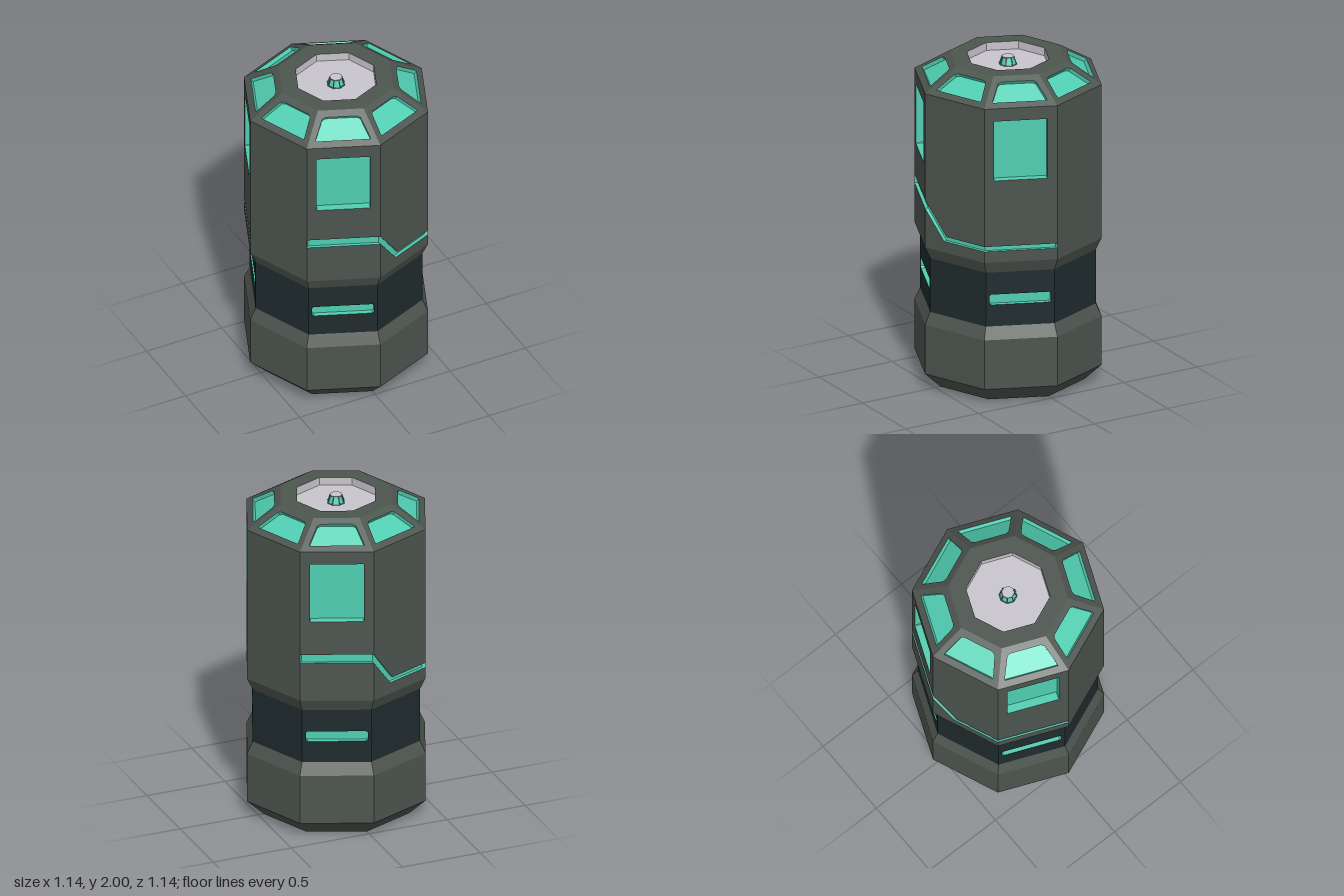
import * as THREE from 'three';
import { mergeGeometries } from 'three/addons/utils/BufferGeometryUtils.js';

const mats = {
  hull: new THREE.MeshStandardMaterial({ name: 'dark grey hull', color: 0x4d554f }),
  band: new THREE.MeshStandardMaterial({ name: 'blue black band', color: 0x1f2b2d }),
  glow: new THREE.MeshStandardMaterial({ name: 'teal', color: 0x50ceb2 }),
  lid: new THREE.MeshStandardMaterial({ name: 'pale grey', color: 0xc8c5cc, side: THREE.DoubleSide }),
};
const SIDES = 8;
const HALF = Math.PI / SIDES;

const toShape = (pts) => new THREE.Shape(pts.map(([x, y]) => new THREE.Vector2(x, y)));

// Flat-sided geometry with only position and normal, ready to merge
function clean(geo) {
  const g = geo.index ? geo.toNonIndexed() : geo;
  g.deleteAttribute('uv');
  g.computeVertexNormals();
  return g;
}

// Flat panel with optional holes, in the local plane of a face
function panel(pts, holes = []) {
  const shape = toShape(pts);
  for (const h of holes) shape.holes.push(new THREE.Path(h.map(([x, y]) => new THREE.Vector2(x, y))));
  return clean(new THREE.ShapeGeometry(shape));
}

// Recess behind a counter-clockwise outline: inward walls and a floor
function pocket(pts, depth, shrink = 1, hasWall = () => true) {
  const inner = pts.map(([x, y]) => [x * shrink, y]);
  const v = [];
  pts.forEach((a, i) => {
    const j = (i + 1) % pts.length;
    if (!hasWall(a, pts[j])) return;
    const A = [...a, 0], B = [...pts[j], 0], a2 = [...inner[i], -depth], b2 = [...inner[j], -depth];
    v.push(...A, ...B, ...a2, ...B, ...b2, ...a2);
  });
  const walls = new THREE.BufferGeometry();
  walls.setAttribute('position', new THREE.Float32BufferAttribute(v, 3));
  return mergeGeometries([clean(walls), panel(inner).translate(0, 0, -depth)]);
}

// Frame of side i of an octagonal frustum: x along the edge, y up the slope, z outward
function faceMatrix(i, r0, y0, r1, y1) {
  const t = (i * 2 + 1) * HALF, c = Math.cos(HALF);
  const out = new THREE.Vector3(Math.sin(t), 0, Math.cos(t));
  const X = new THREE.Vector3(Math.cos(t), 0, -Math.sin(t));
  const Y = out.clone().multiplyScalar((r1 - r0) * c).setY(y1 - y0).normalize();
  const Z = X.clone().cross(Y);
  return new THREE.Matrix4().makeBasis(X, Y, Z).setPosition(out.x * r0 * c, y0, out.z * r0 * c);
}

function outline(r0, y0, r1, y1) {
  const s = Math.sin(HALF), L = Math.hypot((r1 - r0) * Math.cos(HALF), y1 - y0);
  return [[-r0 * s, 0], [r0 * s, 0], [r1 * s, L], [-r1 * s, L]];
}

// Rectangle with small cut corners
function cutRect(w, lo, hi, c) {
  return [[-w + c, lo], [w - c, lo], [w, lo + c], [w, hi - c], [w - c, hi], [-w + c, hi], [-w, hi - c], [-w, lo + c]];
}

function addMesh(parent, name, geo, mat) {
  const m = new THREE.Mesh(geo, mat);
  m.name = name;
  parent.add(m);
}

// Eight-sided tier; holeFor(i) gives a recess outline or nothing
function tier(parent, name, ring, mat, holeFor = () => null, depth = 0) {
  const shell = [], recess = [];
  for (let i = 0; i < SIDES; i++) {
    const m = faceMatrix(i, ...ring), hole = holeFor(i);
    shell.push(panel(outline(...ring), hole ? [hole] : []).applyMatrix4(m));
    if (hole) recess.push(pocket(hole, depth).applyMatrix4(m));
  }
  addMesh(parent, name, mergeGeometries(shell), mat);
  if (recess.length) addMesh(parent, name + 'Insets', mergeGeometries(recess), mats.glow);
}

// Upper wall: windows on alternate sides, a stepped groove running round two sets of three sides
function upperWall(parent) {
  const r = 0.57, y0 = 0.9, y1 = 1.87, H = y1 - y0, w = r * Math.sin(HALF), depth = 0.02;
  const shrink = 1 - depth / (r * Math.cos(HALF));
  const high = { lo: [[-w, 0.245], [w, 0.245]], hi: [[-w, 0.3], [w, 0.3]] };
  const step = { lo: [[-w, 0.245], [-0.078, 0.07], [w, 0.07]], hi: [[-w, 0.3], [-0.06, 0.1], [w, 0.1]] };
  const low = { lo: [[-w, 0.07], [w, 0.07]], hi: [[-w, 0.1], [w, 0.1]] };
  const grooves = [step, low, null, high];
  const window = cutRect(0.16, 0.515, 0.89, 0.004);
  const shell = [], panes = [], channel = [];
  for (let i = 0; i < SIDES; i++) {
    const m = faceMatrix(i, r, y0, r, y1), g = grooves[i % 4];
    const holes = i % 2 ? [window] : [];
    if (i % 2) panes.push(pocket(window, 0.05).applyMatrix4(m));
    if (!g) {
      shell.push(panel(outline(r, y0, r, y1), holes).applyMatrix4(m));
      continue;
    }
    shell.push(panel([[-w, 0], [w, 0], ...[...g.lo].reverse()]).applyMatrix4(m));
    shell.push(panel([...g.hi, [w, H], [-w, H]], holes).applyMatrix4(m));
    // end walls only where the groove starts and stops
    const wall = (a, b) => a[0] !== b[0] || (g === high && a[0] < 0) || (g === low && a[0] > 0);
    channel.push(pocket([...g.lo, ...[...g.hi].reverse()], depth, shrink, wall).applyMatrix4(m));
  }
  addMesh(parent, 'upperWall', mergeGeometries(shell), mats.hull);
  addMesh(parent, 'sideWindows', mergeGeometries(panes), mats.glow);
  addMesh(parent, 'steppedGroove', mergeGeometries(channel), mats.glow);
}

export function createModel() {
  const root = new THREE.Group();
  root.name = 'octagonalCanister';

  // Base and waist
  addMesh(root, 'underside', clean(new THREE.CircleGeometry(0.465, SIDES).rotateX(Math.PI / 2)), mats.hull);
  tier(root, 'baseBevel', [0.465, 0, 0.57, 0.1], mats.hull);
  tier(root, 'lowerWall', [0.57, 0.1, 0.57, 0.41], mats.hull);
  tier(root, 'lowerShoulder', [0.57, 0.41, 0.535, 0.485], mats.hull);
  const slot = cutRect(0.183, 0.135, 0.2, 0.01);
  tier(root, 'waistBand', [0.535, 0.485, 0.535, 0.825], mats.band, (i) => (i % 2 ? slot : null), 0.03);
  tier(root, 'upperShoulder', [0.535, 0.825, 0.57, 0.9], mats.hull);

  upperWall(root);

  // Sloping roof with eight skylights
  const skylight = [[-0.162, 0.044], [0.162, 0.044], [0.16, 0.058], [0.114, 0.181], [0.094, 0.193],
    [-0.094, 0.193], [-0.114, 0.181], [-0.16, 0.058]];
  tier(root, 'roof', [0.57, 1.87, 0.355, 2], mats.hull, () => skylight, 0.025);

  // Rim and recessed lid
  addMesh(root, 'rim', clean(new THREE.RingGeometry(0.25, 0.355, SIDES).rotateX(-Math.PI / 2).translate(0, 2, 0)), mats.hull);
  addMesh(root, 'lid', clean(new THREE.CircleGeometry(0.25, SIDES).rotateX(-Math.PI / 2).translate(0, 1.95, 0)), mats.lid);
  addMesh(root, 'lidWall', clean(new THREE.CylinderGeometry(0.25, 0.25, 0.05, SIDES, 1, true).translate(0, 1.975, 0)), mats.lid);

  // Knob with inset panels
  const knob = new THREE.Group();
  knob.name = 'knob';
  const inset = [[-0.016, 0.006], [0.016, 0.006], [0.011, 0.046], [-0.011, 0.046]];
  tier(knob, 'knobSide', [0.055, 1.95, 0.038, 2], mats.hull, () => inset, 0.003);
  addMesh(knob, 'knobTop', clean(new THREE.CircleGeometry(0.038, SIDES).rotateX(-Math.PI / 2).translate(0, 2, 0)), mats.lid);
  root.add(knob);

  return root;
}
